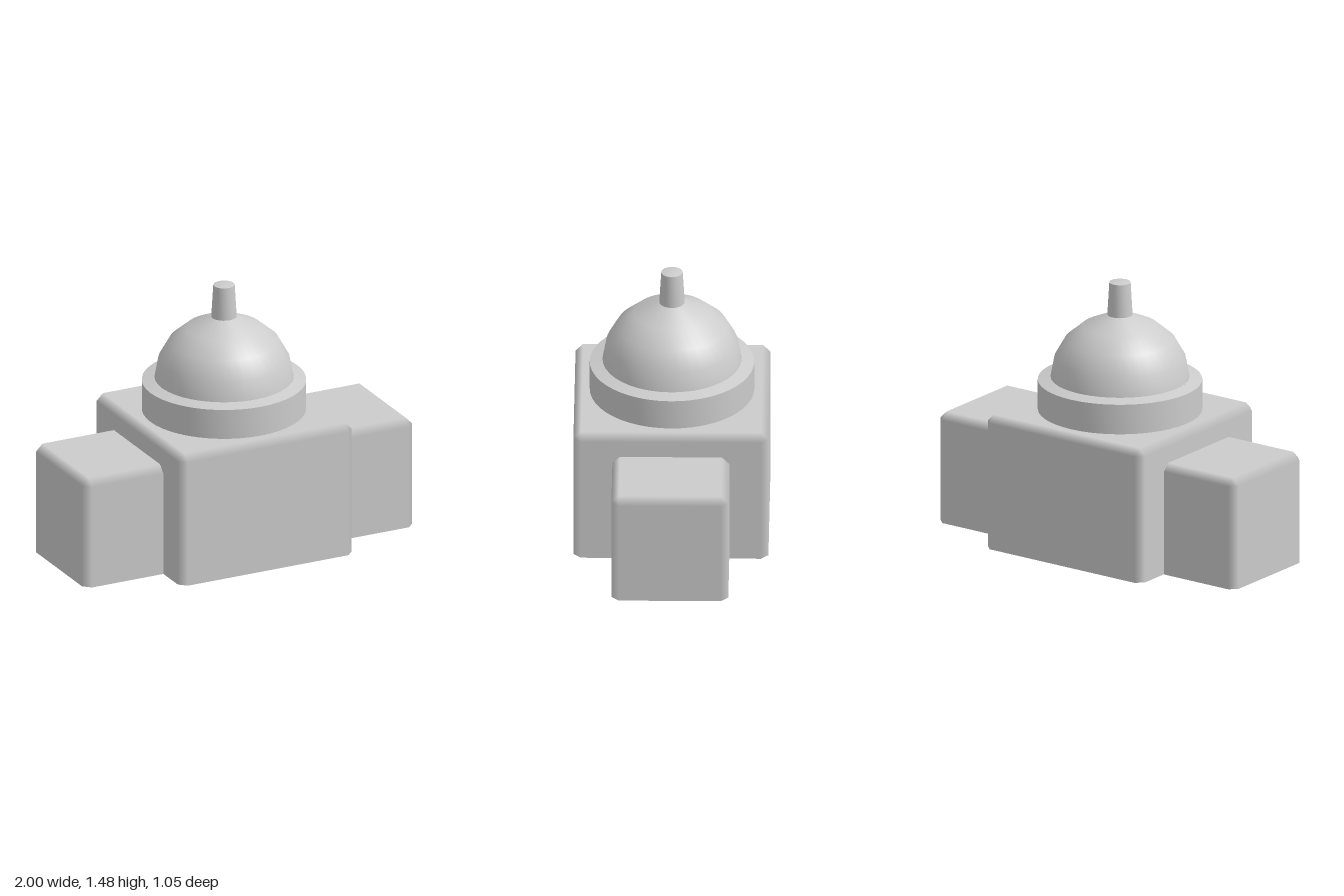
import * as THREE from 'three';
import { toCreasedNormals } from 'three/addons/utils/BufferGeometryUtils.js';

const material = new THREE.MeshStandardMaterial({ color: 0xcccccc, side: THREE.DoubleSide });
const BEVEL = 0.04;

// Bevelled shell reaching from x = inner to x = outer, open below and at its inner end.
// Each wall and the top keep flat normals; only the bevels blend between them.
function bevelledShell(inner, outer, halfDepth, height) {
  const c = BEVEL, x = outer - c, z = halfDepth - c;
  const wall = [[inner, halfDepth], [x, halfDepth], [outer, z], [outer, -z], [x, -halfDepth], [inner, -halfDepth]];
  const roof = [[inner, z], [x, z], [x, z], [x, -z], [x, -z], [inner, -z]];
  const facing = [[0, 0, 1], [0, 0, 1], [1, 0, 0], [1, 0, 0], [0, 0, -1], [0, 0, -1]];
  const positions = [], normals = [], index = [];
  const n = wall.length;
  [[wall, 0], [wall, height - c], [roof, height]].forEach(([ring, y], row) => {
    ring.forEach(([px, pz], i) => {
      positions.push(px, y, pz);
      normals.push(...(row === 2 ? [0, 1, 0] : facing[i]));
    });
  });
  for (let row = 0; row < 2; row++) {
    for (let i = 0; i < n - 1; i++) {
      const a = row * n + i;
      index.push(a, a + 1, a + 1 + n, a, a + 1 + n, a + n);
    }
  }
  const t = 2 * n;
  index.push(t, t + 1, t + 4, t, t + 4, t + 5);
  const geometry = new THREE.BufferGeometry();
  geometry.setAttribute('position', new THREE.Float32BufferAttribute(positions, 3));
  geometry.setAttribute('normal', new THREE.Float32BufferAttribute(normals, 3));
  geometry.setIndex(index);
  return geometry;
}

// Turned part from [radius, height] points, listed from bottom to top
function turned(points, segments) {
  const profile = points.map(([r, y]) => new THREE.Vector2(r, y));
  return toCreasedNormals(new THREE.LatheGeometry(profile, segments), 0.6);
}

export function createModel() {
  const model = new THREE.Group();
  const add = (name, geometry, turn = 0) => {
    const mesh = new THREE.Mesh(geometry, material);
    mesh.name = name;
    mesh.rotation.y = turn;
    model.add(mesh);
  };

  // Central hall in two halves, and a lower wing on each side
  const hall = bevelledShell(0, 0.527, 0.527, 0.757);
  const wing = bevelledShell(0.527, 1, 0.316, 0.625);
  [['left', 0], ['right', Math.PI]].forEach(([side, turn]) => {
    add(side + 'HallHalf', hall, turn);
    add(side + 'Wing', wing, turn);
  });

  // Round drum with a sloping ledge
  add('drum', turned([[0.445, 0.757], [0.445, 0.925], [0.376, 0.942]], 48));

  // Dome
  add('dome', turned([[0.376, 0.942], [0.356, 1.05], [0.298, 1.153], [0.205, 1.232], [0.067, 1.294]], 40));

  // Tapered finial with a slightly rounded cap
  add('finial', turned([[0.069, 1.292], [0.058, 1.477], [0.035, 1.482], [0, 1.483]], 24));

  return model;
}
